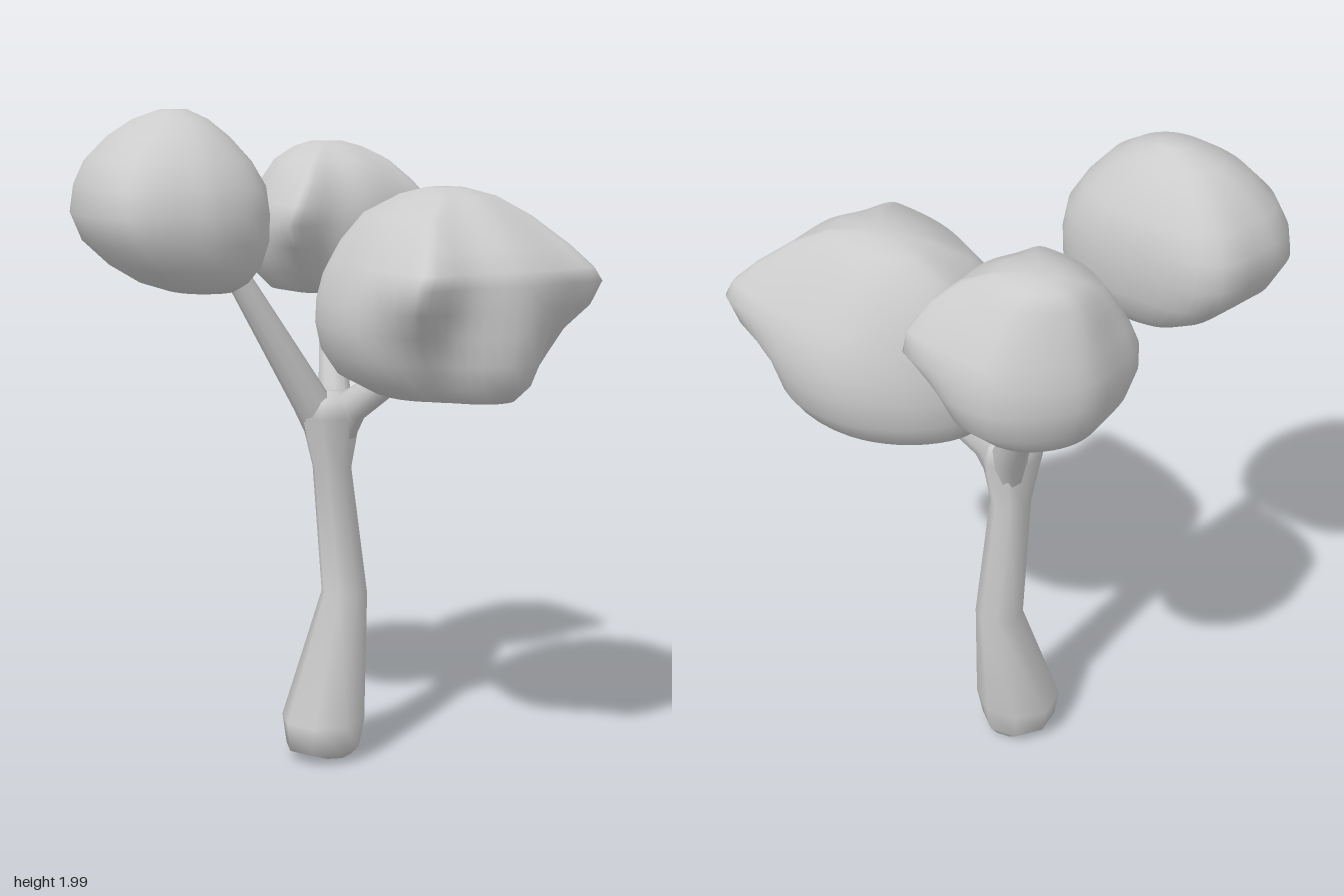
import * as THREE from 'three';

const material = new THREE.MeshStandardMaterial({ color: 0xcccccc });

// Skin a stack of rings (arrays of Vector3) and close both ends with a fan.
function loft(name, rings) {
  const n = rings[0].length, pos = [], index = [];
  const centre = (ring) => ring.reduce((s, p) => s.add(p), new THREE.Vector3()).divideScalar(n);
  rings.flat().forEach((p) => pos.push(p.x, p.y, p.z));
  const last = (rings.length - 1) * n, bottom = rings.length * n, top = bottom + 1;
  [centre(rings[0]), centre(rings[rings.length - 1])].forEach((p) => pos.push(p.x, p.y, p.z));
  for (let i = 0; i < n; i++) {
    const j = (i + 1) % n;
    for (let r = 0; r < last; r += n) {
      index.push(r + i, r + j, r + n + i, r + j, r + n + j, r + n + i);
    }
    index.push(bottom, j, i, top, last + i, last + j);
  }
  const geometry = new THREE.BufferGeometry();
  geometry.setAttribute('position', new THREE.Float32BufferAttribute(pos, 3));
  geometry.setIndex(index);
  geometry.computeVertexNormals();
  const mesh = new THREE.Mesh(geometry, material);
  mesh.name = name;
  return mesh;
}

// Trunk from level rings: [y, xMin, xMax, zMin, zMax]
function trunk(levels) {
  const n = 8;
  return loft('trunk', levels.map(([y, x0, x1, z0, z1]) =>
    Array.from({ length: n }, (_, i) => {
      const a = (i / n) * Math.PI * 2;
      return new THREE.Vector3(
        (x0 + x1) / 2 + Math.sin(a) * (x1 - x0) / 2, y,
        (z0 + z1) / 2 + Math.cos(a) * (z1 - z0) / 2);
    })));
}

// Tapered branch through stations: [x, y, z, radius]
function branch(name, stations) {
  const n = 10;
  const pts = stations.map(([x, y, z]) => new THREE.Vector3(x, y, z));
  return loft(name, stations.map((s, k) => {
    const axis = pts[Math.min(k + 1, pts.length - 1)].clone()
      .sub(pts[Math.max(k - 1, 0)]).normalize();
    const v = new THREE.Vector3(0.6, 0, 0.8).cross(axis).normalize();
    const u = v.clone().cross(axis);
    return Array.from({ length: n }, (_, i) => {
      const a = (i / n) * Math.PI * 2;
      return pts[k].clone()
        .addScaledVector(u, Math.cos(a) * s[3])
        .addScaledVector(v, Math.sin(a) * s[3]);
    });
  }));
}

// Foliage clump: a plan outline fitted to the box of each level.
// Levels: [y, xMin, xMax, zMin, zMax, roundness, dent under the front corners]
function clump(name, plan, levels) {
  const curve = new THREE.CatmullRomCurve3(
    plan.map(([x, z]) => new THREE.Vector3(x, 0, z)), true);
  const sides = plan.length * 4;
  const outline = curve.getPoints(sides).slice(0, sides);
  return loft(name, levels.map(([y, x0, x1, z0, z1, round, dent = 0]) =>
    outline.map((p) => {
      const circle = p.clone().normalize();
      const corner = Math.max(0, 2 * Math.abs(circle.x) * circle.z) ** 3;
      const q = p.clone().lerp(circle, round).multiplyScalar(1 - dent * corner);
      return new THREE.Vector3(
        (x0 + x1) / 2 + q.x * (x1 - x0) / 2, y,
        (z0 + z1) / 2 + q.z * (z1 - z0) / 2);
    })));
}

// Wide, blunt front with two corners, narrowing to the back
const wedgePlan = [
  [0.1, 1], [0.7, 0.93], [0.95, 0.9], [1, 0.75], [0.98, 0.3], [0.86, -0.35],
  [0.6, -0.68], [0.2, -0.95], [-0.05, -1], [-0.45, -0.88], [-0.75, -0.75],
  [-0.88, -0.4], [-0.98, 0.05], [-1, 0.65], [-0.97, 0.88], [-0.86, 0.93], [-0.4, 0.9],
];
// Long rounded plan
const ovalPlan = [
  [0.08, 1], [0.6, 0.9], [0.9, 0.65], [1, 0.25], [1, 0.1], [0.94, -0.27],
  [0.76, -0.78], [0.5, -0.97], [0, -0.98], [-0.28, -0.96], [-0.6, -0.81],
  [-0.83, -0.48], [-0.98, 0.03], [-0.98, 0.48], [-0.87, 0.73], [-0.68, 0.85], [-0.3, 0.95],
];

export function createModel() {
  const tree = new THREE.Group();
  tree.name = 'tree';

  tree.add(trunk([
    [0.005, 0.05, 0.165, -0.13, -0.02],
    [0.04, -0.045, 0.19, -0.19, 0.035],
    [0.13, -0.055, 0.205, -0.21, 0.055],
    [0.52, 0.085, 0.23, -0.157, -0.013],
    [0.92, 0.053, 0.175, -0.15, -0.03],
    [1.08, 0.005, 0.2, -0.168, 0.005],
    [1.13, 0.02, 0.185, -0.155, -0.01],
    [1.155, 0.07, 0.14, -0.12, -0.06],
  ]));

  tree.add(
    branch('rightBranch', [
      [0.11, 0.95, -0.09, 0.04], [0.04, 1.13, -0.095, 0.057],
      [-0.19, 1.5, -0.115, 0.037], [-0.27, 1.62, -0.12, 0.03]]),
    branch('backBranch', [
      [0.115, 0.95, -0.09, 0.04], [0.15, 1.12, -0.13, 0.052],
      [0.25, 1.41, -0.315, 0.037], [0.28, 1.5, -0.37, 0.03]]),
    branch('frontBranch', [
      [0.115, 0.95, -0.09, 0.04], [0.145, 1.11, -0.035, 0.054],
      [0.22, 1.22, 0.1, 0.042], [0.27, 1.32, 0.22, 0.032]]),
  );

  tree.add(clump('frontFoliage', wedgePlan, [
    [1.175, 0.18, 0.42, 0.1, 0.45, 1, 0.1],
    [1.185, 0.08, 0.49, 0.0, 0.53, 0.8, 0.18],
    [1.23, 0.0, 0.56, -0.1, 0.585, 0.6, 0.24],
    [1.3, -0.05, 0.61, -0.13, 0.605, 0.45, 0.24],
    [1.38, -0.07, 0.63, -0.135, 0.61, 0.3, 0.18],
    [1.45, -0.065, 0.635, -0.13, 0.61, 0.1, 0.07],
    [1.52, -0.045, 0.62, -0.115, 0.61, 0],
    [1.56, -0.02, 0.595, -0.105, 0.6, 0],
    [1.62, 0.02, 0.555, -0.085, 0.55, 0.1],
    [1.7, 0.09, 0.49, -0.03, 0.46, 0.3],
    [1.755, 0.2, 0.43, 0.05, 0.36, 0.6],
    [1.775, 0.27, 0.38, 0.13, 0.26, 1],
  ]));

  tree.add(clump('backFoliage', wedgePlan, [
    [1.425, 0.18, 0.4, -0.5, -0.28, 1, 0.1],
    [1.44, 0.1, 0.46, -0.55, -0.23, 0.8, 0.16],
    [1.5, 0.03, 0.53, -0.59, -0.17, 0.5, 0.2],
    [1.58, 0.0, 0.557, -0.61, -0.145, 0.25, 0.1],
    [1.65, 0.0, 0.557, -0.605, -0.135, 0],
    [1.71, 0.025, 0.54, -0.59, -0.138, 0],
    [1.78, 0.07, 0.485, -0.57, -0.16, 0.15],
    [1.84, 0.12, 0.44, -0.55, -0.21, 0.4],
    [1.88, 0.2, 0.39, -0.52, -0.29, 0.7],
    [1.895, 0.25, 0.35, -0.47, -0.36, 1],
  ]));

  // First level is a hollow where the branch enters
  tree.add(clump('rightFoliage', ovalPlan, [
    [1.52, -0.32, -0.22, -0.2, -0.1, 1],
    [1.475, -0.38, -0.2, -0.32, -0.06, 0.6],
    [1.5, -0.46, -0.165, -0.39, -0.01, 0.3],
    [1.55, -0.54, -0.125, -0.475, 0.03, 0.15],
    [1.62, -0.61, -0.103, -0.55, 0.058, 0.05],
    [1.7, -0.635, -0.1, -0.592, 0.065, 0],
    [1.78, -0.62, -0.103, -0.585, 0.045, 0.05],
    [1.85, -0.585, -0.13, -0.55, 0.005, 0.3],
    [1.92, -0.51, -0.18, -0.49, -0.06, 0.6],
    [1.97, -0.43, -0.23, -0.42, -0.14, 0.8],
    [1.998, -0.36, -0.28, -0.32, -0.23, 1],
  ]));

  return tree;
}
